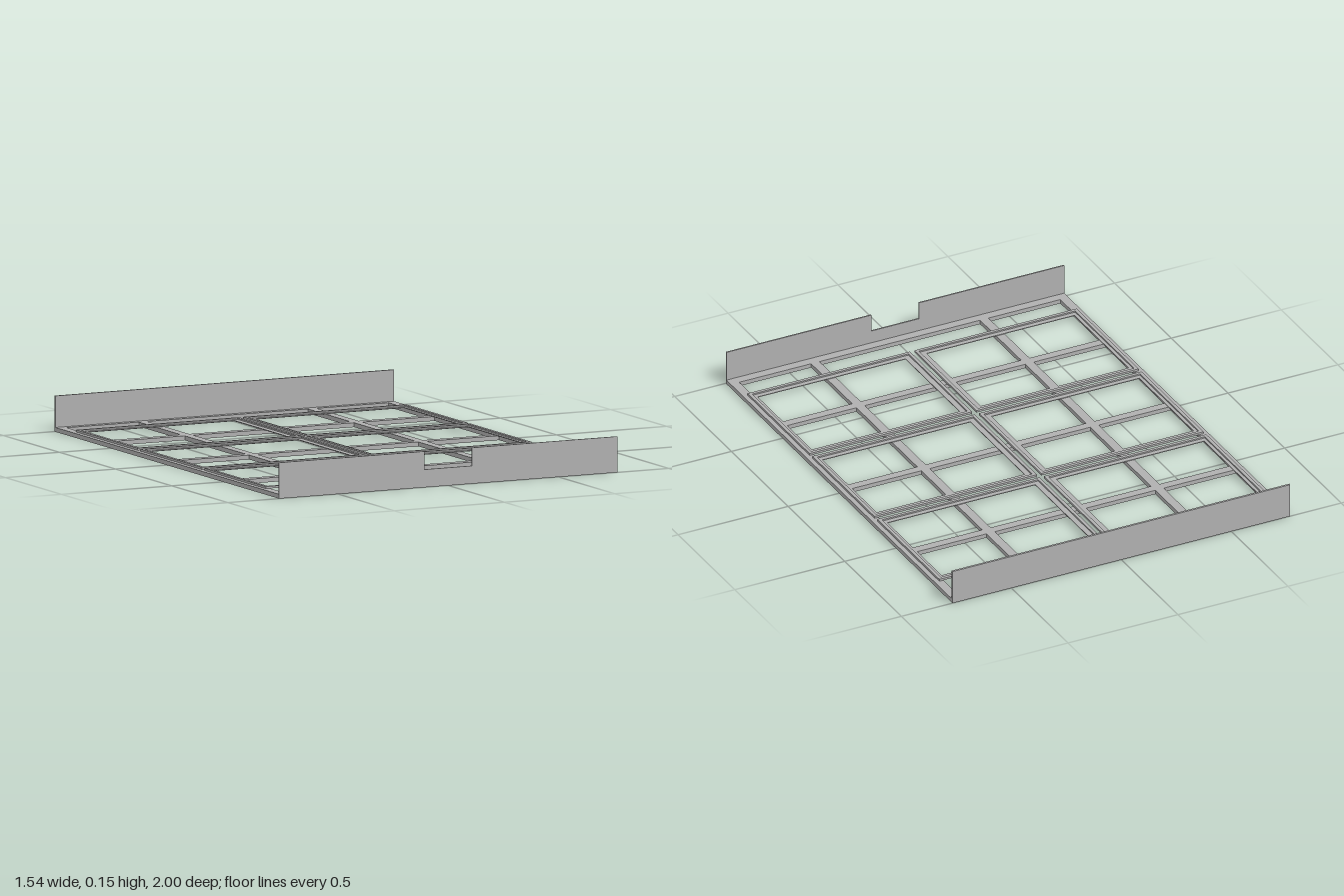
import * as THREE from 'three';

const steel = new THREE.MeshStandardMaterial({ color: 0xb0b0b0 });
steel.name = 'grey steel';

function rect(path, x0, z0, x1, z1) {
  path.moveTo(x0, z0);
  path.lineTo(x1, z0);
  path.lineTo(x1, z1);
  path.lineTo(x0, z1);
  path.closePath();
  return path;
}

// Flat plate in x/z with rectangular holes, between two heights
function plate(name, outer, holes, bottom, top) {
  const shape = rect(new THREE.Shape(), ...outer);
  for (const h of holes) shape.holes.push(rect(new THREE.Path(), ...h));
  const geo = new THREE.ExtrudeGeometry(shape, { depth: top - bottom, bevelEnabled: false });
  geo.rotateX(Math.PI / 2);
  geo.translate(0, top, 0);
  const mesh = new THREE.Mesh(geo, steel);
  mesh.name = name;
  return mesh;
}

export function createModel() {
  const model = new THREE.Group();
  model.name = 'panelRack';
  const W = 0.768, H = 0.147, BASE = 0.018;

  // Base grid: rim, two long rails and three cross bars
  const columns = [[-0.73, -0.403], [-0.365, 0.365], [0.403, 0.73]];
  const rows = [[-0.965, -0.592], [-0.555, -0.018], [0.018, 0.555], [0.592, 0.955]];
  const openings = [];
  for (const [x0, x1] of columns)
    for (const [z0, z1] of rows) openings.push([x0, z0, x1, z1]);
  model.add(plate('baseGrid', [-W, -0.995, W, 0.995], openings, 0, BASE));

  // Six tray frames: a thin flange with a raised rim around it
  for (const side of [-1, 1]) {
    for (const zc of [-0.572, 0, 0.572]) {
      const tray = new THREE.Group();
      tray.name = 'trayFrame';
      const d = 0.274, lip = 0.014;
      const span = (a, b) => (side > 0 ? [a, b] : [-b, -a]);
      const [x0, x1] = span(0.01, 0.748);
      const [i0, i1] = span(0.048, 0.72);
      tray.add(plate('trayFlange', [x0, -d, x1, d],
        [[i0, -d + 0.035, i1, d - 0.035]], BASE, 0.021));
      tray.add(plate('trayRim', [x0, -d, x1, d],
        [[x0 + lip, -d + lip, x1 - lip, d - lip]], 0.021, 0.027));
      tray.position.z = zc;
      model.add(tray);
    }
  }

  // Back wall
  const back = new THREE.Mesh(new THREE.BoxGeometry(2 * W, H, 0.009), steel);
  back.name = 'backWall';
  back.position.set(0, H / 2, -0.9955);
  model.add(back);

  // Front wall with a notch in its top edge
  const n = 0.108, notchY = 0.073;
  const wall = new THREE.Shape([
    [-W, 0], [W, 0], [W, H], [n, H], [n, notchY], [-n, notchY], [-n, H], [-W, H],
  ].map(([x, y]) => new THREE.Vector2(x, y)));
  const front = new THREE.Mesh(
    new THREE.ExtrudeGeometry(wall, { depth: 0.006, bevelEnabled: false }), steel);
  front.name = 'frontWall';
  front.position.z = 0.994;
  model.add(front);

  return model;
}
